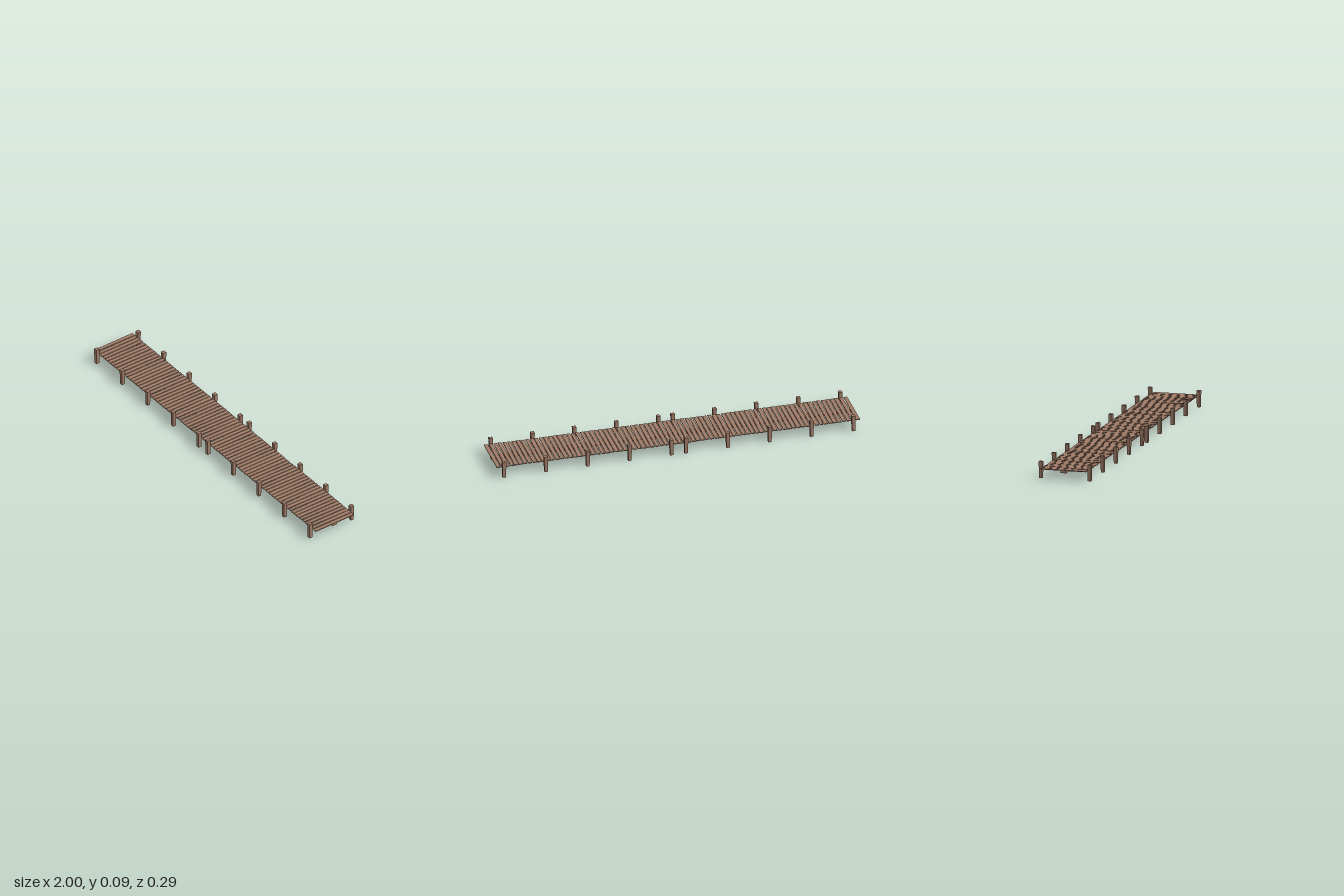
import * as THREE from 'three';

// Small seeded generator, returns -1..1
function seeded(seed) {
  let s = seed;
  return () => {
    s = (s * 16807) % 2147483647;
    return (s / 2147483647) * 2 - 1;
  };
}

export function createModel() {
  const dock = new THREE.Group();
  dock.name = 'dock';
  const wood = new THREE.MeshStandardMaterial({ color: 0xa07c68, flatShading: true });

  // Box whose vertices are moved by a rule
  function hewn(name, w, h, d, x, y, z, rule, parent) {
    const geo = new THREE.BoxGeometry(w, h, d);
    const pos = geo.attributes.position;
    const v = new THREE.Vector3();
    for (let i = 0; i < pos.count; i++) {
      v.fromBufferAttribute(pos, i);
      rule(v);
      pos.setXYZ(i, v.x, v.y, v.z);
    }
    geo.computeVertexNormals();
    const mesh = new THREE.Mesh(geo, wood);
    mesh.name = name;
    mesh.position.set(x, y, z);
    parent.add(mesh);
    return mesh;
  }

  // One half of the walkway, spanning 1 unit along x
  function section(name, cx) {
    const half = new THREE.Group();
    half.name = name;
    half.position.x = cx;
    const rnd = seeded(4711);

    // Uneven deck planks, each narrowing a little towards one end
    const count = 40, pitch = 1 / count;
    for (let i = 0; i < count; i++) {
      const taper = rnd() * 0.12, skew = rnd() * 0.0015, tilt = rnd() * 0.001;
      hewn('plank', 0.0205 + rnd() * 0.0012, 0.0045, 0.253,
        -0.5 + pitch * (i + 0.5), 0.0558 + rnd() * 0.0006, 0, (v) => {
          const end = Math.sign(v.z);
          v.x = v.x * (1 + taper * end) + skew * end;
          v.y += tilt * end;
        }, half);
    }

    // Central beam under the planks
    hewn('beam', 0.99, 0.0135, 0.03, 0, 0.0473, 0, () => {}, half);

    // Pairs of posts, slightly wider at the top
    for (const px of [-0.46, -0.23, 0, 0.23, 0.46]) {
      for (const side of [-1, 1]) {
        const twist = rnd() * 0.0012;
        hewn('post', 0.018, 0.09, 0.018, px, 0.045, side * 0.1355, (v) => {
          const k = v.y > 0 ? 1.14 : 0.98;
          v.x = v.x * k + Math.sign(v.y) * twist;
          v.z *= k;
        }, half);
      }
    }
    dock.add(half);
  }

  section('rightSection', -0.5);
  section('leftSection', 0.5);
  return dock;
}
